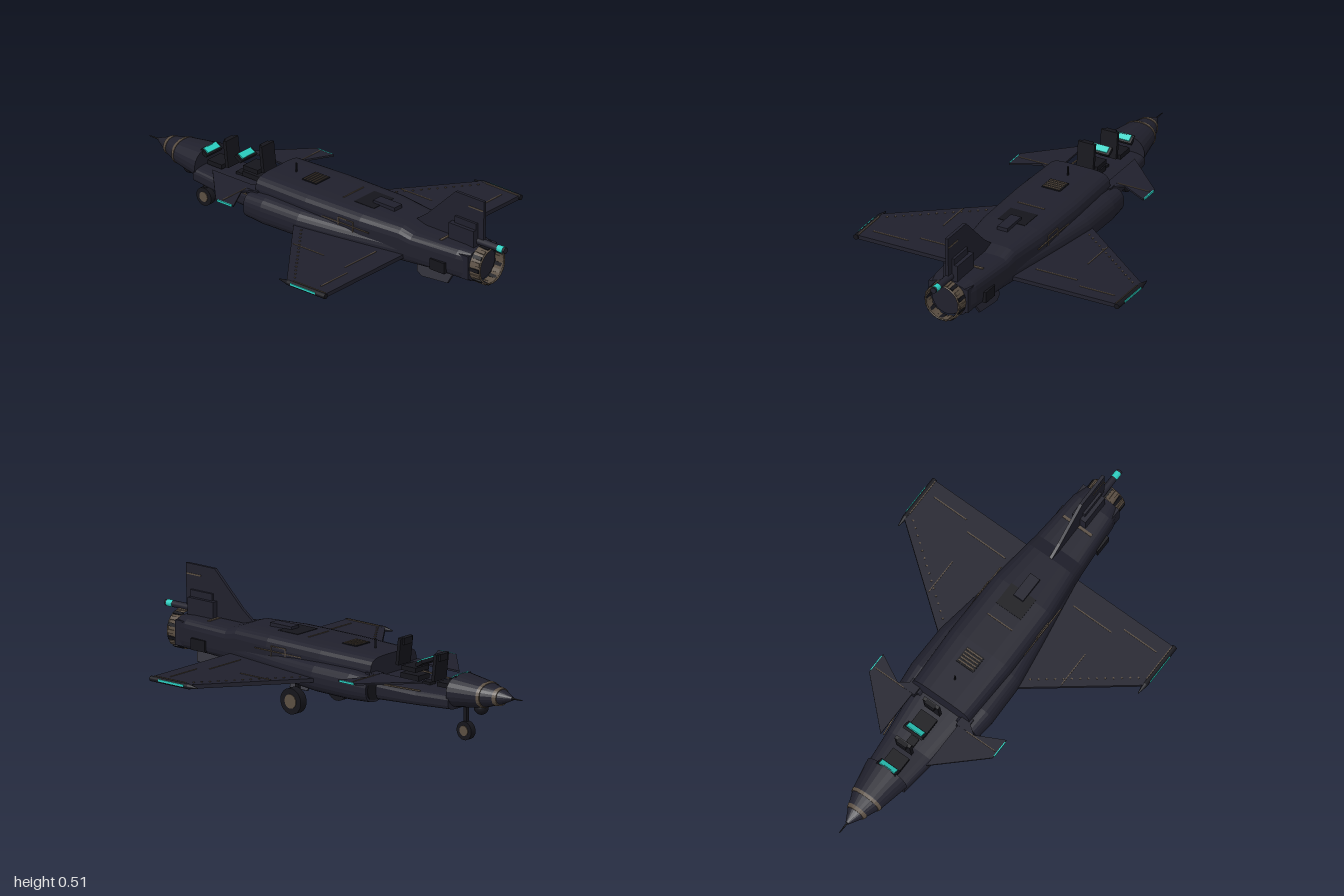
import * as THREE from 'three';

const mat = (name, color, double) => {
  const m = new THREE.MeshStandardMaterial({ color });
  m.name = name;
  if (double) m.side = THREE.DoubleSide;
  return m;
};

export function createModel() {
  const root = new THREE.Group();
  root.name = 'jet';
  const body = mat('navy skin', 0x20202c), dark = mat('black rubber', 0x15151b);
  const bronze = mat('bronze trim', 0x5a4e42, true), teal = mat('teal glow', 0x2ad0c2);

  const add = (name, geo, m, x = 0, y = 0, z = 0) => {
    const mesh = new THREE.Mesh(geo, m);
    mesh.name = name;
    mesh.position.set(x, y, z);
    root.add(mesh);
    return mesh;
  };
  const box = (name, m, w, h, d, x, y, z) => add(name, new THREE.BoxGeometry(w, h, d), m, x, y, z);

  // Skin through superellipse stations [z, centreX, halfWidth, bottom, top]
  function loft(stations, power = 2, n = 24) {
    const rings = stations.map(([z, cx, w, y0, y1]) => Array.from({ length: n }, (_, j) => {
      const a = (j + 0.5) / n * Math.PI * 2, c = Math.cos(a), s = Math.sin(a);
      const e = v => Math.sign(v) * Math.abs(v) ** (2 / power);
      return [cx + w * e(c), (y0 + y1) / 2 + (y1 - y0) / 2 * e(s), z];
    }));
    const mid = ([z, cx, , y0, y1]) => [cx, (y0 + y1) / 2, z];
    const p = [], last = rings.length - 1;
    for (let j = 0; j < n; j++) {
      const k = (j + 1) % n;
      for (let i = 0; i < last; i++) {
        const a = rings[i][j], b = rings[i][k], c = rings[i + 1][k], d = rings[i + 1][j];
        p.push(...a, ...b, ...d, ...b, ...c, ...d);
      }
      p.push(...mid(stations[0]), ...rings[0][k], ...rings[0][j]);
      p.push(...mid(stations[last]), ...rings[last][j], ...rings[last][k]);
    }
    const g = new THREE.BufferGeometry();
    g.setAttribute('position', new THREE.Float32BufferAttribute(p, 3));
    g.computeVertexNormals();
    return g;
  }
  const extrude = (pts, t) => new THREE.ExtrudeGeometry(
    new THREE.Shape(pts.map(p => new THREE.Vector2(...p))), { depth: t, bevelEnabled: false }).translate(0, 0, -t / 2);
  const flat = (pts, t) => extrude(pts, t).rotateX(Math.PI / 2);     // points are x, z
  const upright = (pts, t) => extrude(pts, t).rotateY(-Math.PI / 2); // points are z, y
  const rod = (r0, r1, len, n = 12, open = false) =>
    new THREE.CylinderGeometry(r0, r1, len, n, 1, open).rotateX(Math.PI / 2); // r0 is the +z end

  // Nose, probe and bands
  add('nose', loft([[-0.945, 0, 0.008, 0.217, 0.233], [-0.88, 0, 0.043, 0.187, 0.258],
    [-0.8, 0, 0.075, 0.165, 0.274], [-0.66, 0, 0.103, 0.143, 0.29]], 2.2), body);
  add('noseProbe', rod(0.005, 0.002, 0.07, 8), dark, 0, 0.226, -0.965);
  add('frontNoseBand', loft([[-0.887, 0, 0.043, 0.185, 0.259], [-0.87, 0, 0.05, 0.182, 0.262]], 2.2), bronze);
  add('rearNoseBand', loft([[-0.817, 0, 0.072, 0.167, 0.273], [-0.803, 0, 0.077, 0.163, 0.276]], 2.2), bronze);
  add('chinSensor', new THREE.SphereGeometry(0.032, 16, 10), dark, 0, 0.158, -0.77);

  // Fuselage
  add('cockpitTub', loft([[-0.67, 0, 0.1, 0.143, 0.213], [-0.5, 0, 0.118, 0.135, 0.212],
    [-0.27, 0, 0.145, 0.127, 0.23]], 4), body);
  add('spine', loft([[-0.28, 0, 0.15, 0.14, 0.315], [0, 0, 0.16, 0.14, 0.32], [0.3, 0, 0.155, 0.145, 0.322],
    [0.5, 0, 0.13, 0.15, 0.315], [0.56, 0, 0.125, 0.155, 0.298], [0.8, 0, 0.105, 0.155, 0.298],
    [0.86, 0, 0.088, 0.15, 0.292]], 4.5), body);
  box('tailCollar', body, 0.19, 0.11, 0.06, 0, 0.225, 0.83);

  // Afterburner nozzle with petals
  add('nozzle', rod(0.08, 0.086, 0.055, 24, true), bronze, 0, 0.22, 0.887);
  add('nozzleRim', new THREE.TorusGeometry(0.08, 0.004, 6, 24), bronze, 0, 0.22, 0.913);
  add('nozzleCore', new THREE.CircleGeometry(0.074, 24), body, 0, 0.22, 0.866);
  for (let i = 0; i < 18; i++) {
    const a = i / 18 * Math.PI * 2;
    const petal = box('nozzlePetal', i % 2 ? dark : bronze, 0.006, 0.016, 0.05,
      Math.cos(a) * 0.084, 0.22 + Math.sin(a) * 0.084, 0.886);
    petal.rotation.z = a;
  }

  // Fin, its base housing and the tail bullet
  add('fin', upright([[0.48, 0.3], [0.56, 0.36], [0.715, 0.51], [0.875, 0.51], [0.87, 0.3]], 0.014), body);
  box('finHousing', body, 0.07, 0.08, 0.14, 0, 0.33, 0.77);
  box('finHousingTop', body, 0.036, 0.05, 0.12, 0, 0.375, 0.78);
  add('tailBullet', rod(0.014, 0.018, 0.24), body, 0, 0.315, 0.87);
  add('tailLight', rod(0.0155, 0.0155, 0.03), teal, 0, 0.315, 0.965);
  box('finTopTrim', bronze, 0.018, 0.006, 0.08, 0, 0.465, 0.83);
  box('tailHook', dark, 0.014, 0.06, 0.014, 0, 0.15, 0.805);

  for (const s of [1, -1]) {
    const mirror = pts => pts.map(([x, z]) => [x * s, z]);
    // Air intake duct and its dark mouth
    add('intakeDuct', loft([[-0.3, s * 0.145, 0.06, 0.13, 0.245], [-0.2, s * 0.147, 0.068, 0.125, 0.255],
      [0, s * 0.145, 0.066, 0.127, 0.255], [0.2, s * 0.12, 0.06, 0.135, 0.25],
      [0.5, s * 0.075, 0.055, 0.15, 0.25], [0.78, s * 0.05, 0.05, 0.16, 0.26]], 2.5), body);
    add('intakeMouth', loft([[-0.304, s * 0.145, 0.051, 0.14, 0.235], [-0.299, s * 0.145, 0.051, 0.14, 0.235]], 2.5), dark);
    const ramp = box('cockpitSideTrim', bronze, 0.006, 0.006, 0.22, s * 0.13, 0.212, -0.42);
    ramp.rotation.y = s * 0.12;

    // Main wing with control-surface lines and rivets
    add('wing', flat(mirror([[0.1, -0.06], [0.21, -0.015], [0.63, 0.31], [0.635, 0.525], [0.1, 0.525]]), 0.018), body, 0, 0.187);
    box('flapLine', bronze, 0.2, 0.003, 0.005, s * 0.28, 0.197, 0.42);
    box('aileronLine', bronze, 0.17, 0.003, 0.005, s * 0.5, 0.197, 0.462);
    box('wingPanelLine', bronze, 0.004, 0.003, 0.17, s * 0.35, 0.197, 0.19);
    box('wingRootLine', bronze, 0.005, 0.004, 0.26, s * 0.158, 0.256, 0.23);
    box('underWingPanel', bronze, 0.06, 0.003, 0.06, s * 0.3, 0.177, 0.36);
    for (let i = 0; i < 14; i++) {
      box('wingRivet', bronze, 0.007, 0.004, 0.007, s * (0.23 + i * 0.028), 0.197, 0.045 + i * 0.0215);
    }
    // Wing-tip pod
    add('tipPod', rod(0.012, 0.012, 0.21), dark, s * 0.632, 0.187, 0.425);
    add('tipPodNose', rod(0.012, 0.002, 0.05), dark, s * 0.632, 0.187, 0.295);
    box('tipPodLight', teal, 0.007, 0.009, 0.14, s * 0.642, 0.189, 0.41);
    box('tipPodTrim', bronze, 0.004, 0.004, 0.18, s * 0.624, 0.198, 0.43);

    // Canard
    add('canard', flat(mirror([[0.12, -0.545], [0.325, -0.35], [0.325, -0.25], [0.2, -0.315], [0.14, -0.27], [0.12, -0.3]]), 0.008), body, 0, 0.25);
    box('canardLight', teal, 0.005, 0.009, 0.08, s * 0.326, 0.25, -0.3);
    box('canardLine', bronze, 0.15, 0.003, 0.004, s * 0.24, 0.255, -0.32);
    box('canardPivot', body, 0.05, 0.03, 0.06, s * 0.135, 0.24, -0.29);

    // Canted ventral fin and engine-side fairing
    const ventral = add('ventralFin', upright([[0.54, 0.08], [0.77, 0.08], [0.74, 0], [0.6, -0.01], [0.57, 0.005]], 0.01), body, s * 0.085, 0.115, 0);
    ventral.rotation.z = s * 0.4;
    box('engineFairing', dark, 0.02, 0.05, 0.08, s * 0.112, 0.198, 0.71);

    // Square access hatch outlined on the side
    for (const e of [-1, 1]) {
      box('hatchEdge', bronze, 0.004, 0.004, 0.08, s * 0.157, 0.252 + e * 0.026, 0.23);
      box('hatchPost', bronze, 0.004, 0.054, 0.004, s * 0.157, 0.252, 0.23 + e * 0.04);
    }
    // Main landing gear door
    const door = box('gearDoor', body, 0.006, 0.045, 0.1, s * 0.105, 0.122, 0.15);
    door.rotation.z = s * 0.5;
  }

  // Landing gear
  const gear = (name, x, z, r, w) => {
    add(name + 'Tyre', new THREE.CylinderGeometry(r, r, w, 24).rotateZ(Math.PI / 2), dark, x, r + 0.002, z);
    add(name + 'Hub', new THREE.CylinderGeometry(r * 0.55, r * 0.55, w + 0.006, 16).rotateZ(Math.PI / 2), bronze, x, r + 0.002, z);
    const side = x ? -Math.sign(x) * (w / 2 + 0.008) : 0;
    box(name + 'Strut', dark, 0.014, 0.16 - r, 0.018, x + side, r + (0.16 - r) / 2, z);
  };
  gear('leftWheel', 0.15, 0.15, 0.057, 0.038);
  gear('rightWheel', -0.15, 0.15, 0.057, 0.038);
  gear('noseWheel', 0, -0.685, 0.041, 0.028);

  // Tandem seats, instrument panels and screens
  const seat = (z, y) => {
    box('seatCushion', dark, 0.085, 0.02, 0.08, 0, y, z - 0.02);
    box('seatBase', dark, 0.07, 0.022, 0.1, 0, y - 0.035, z - 0.02);
    const back = box('seatBack', dark, 0.08, 0.12, 0.016, 0, y + 0.065, z + 0.04);
    back.rotation.x = -0.12;
    box('headrest', dark, 0.05, 0.03, 0.02, 0, y + 0.11, z + 0.027);
  };
  seat(-0.38, 0.27);
  seat(-0.58, 0.232);
  for (const [z, y] of [[-0.462, 0.305], [-0.655, 0.27]]) {
    const panel = box('instrumentPanel', dark, 0.1, 0.016, 0.04, 0, y, z);
    const screen = box('screen', teal, 0.08, 0.006, 0.03, 0, y + 0.01, z + 0.003);
    panel.rotation.x = screen.rotation.x = 0.55;
  }
  box('centreConsole', dark, 0.04, 0.012, 0.04, 0, 0.218, -0.48);

  // Details along the back
  box('dorsalFairing', body, 0.05, 0.02, 0.12, 0, 0.325, 0.33);
  box('antenna', dark, 0.006, 0.045, 0.006, 0, 0.335, -0.18);
  box('ventPanel', dark, 0.09, 0.004, 0.08, 0, 0.32, -0.07);
  for (let i = 0; i < 5; i++) box('ventSlat', bronze, 0.08, 0.004, 0.006, 0, 0.323, -0.1 + i * 0.015);
  box('backLine', bronze, 0.13, 0.003, 0.005, 0, 0.322, 0.14);
  box('backPanel', dark, 0.13, 0.004, 0.11, 0, 0.321, 0.255);
  box('tailLine', bronze, 0.15, 0.004, 0.012, 0, 0.299, 0.69);
  return root;
}
